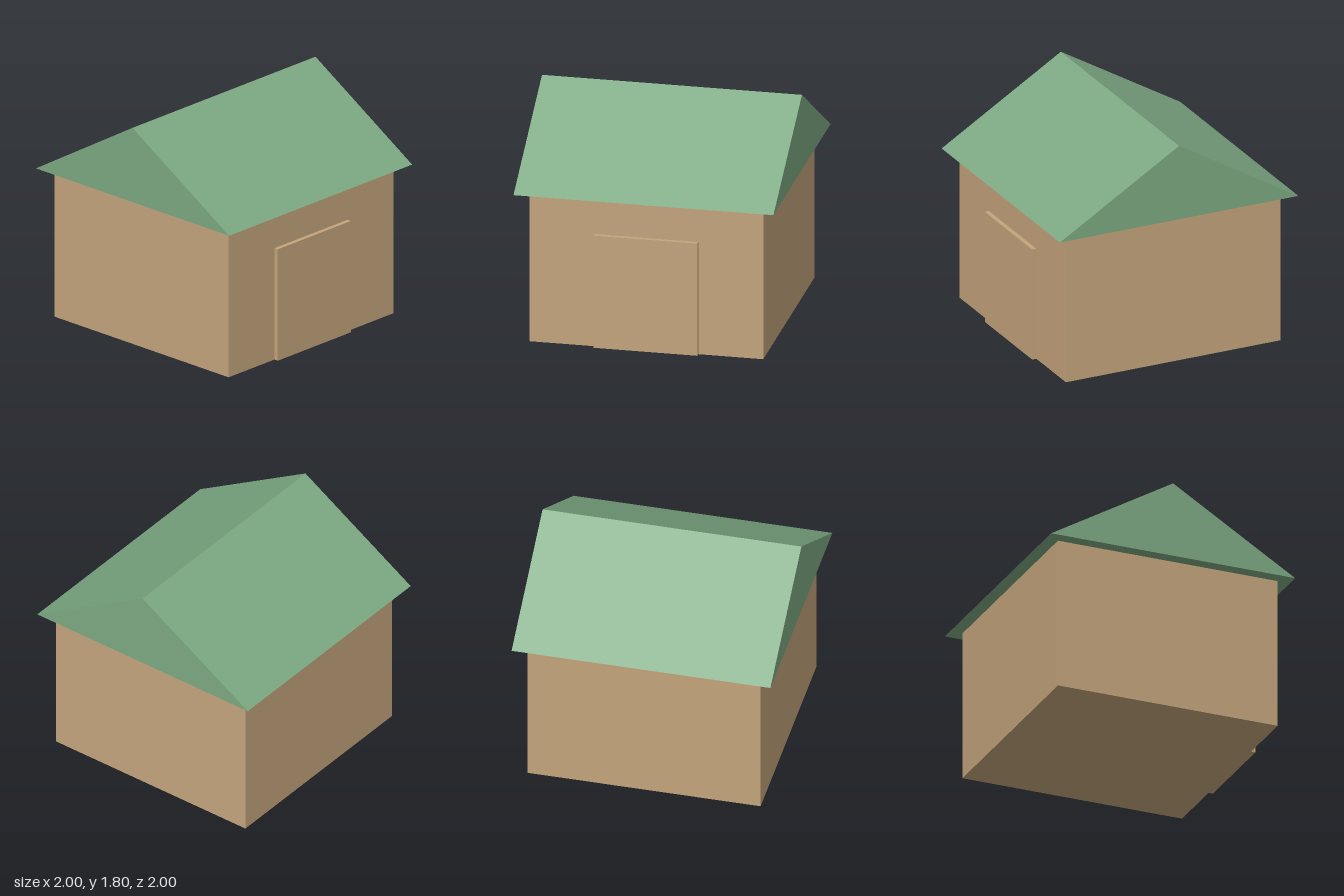
import * as THREE from 'three';

export function createModel() {
  const model = new THREE.Group();
  model.name = 'house';

  const wallTan = new THREE.MeshStandardMaterial({ color: 0xc4a47c });
  wallTan.name = 'wall tan';
  const roofGreen = new THREE.MeshStandardMaterial({ color: 0x7ca982 });
  roofGreen.name = 'roof green';

  // Adds a box standing on the ground
  const addBox = (name, w, h, d, z) => {
    const mesh = new THREE.Mesh(new THREE.BoxGeometry(w, h, d), wallTan);
    mesh.name = name;
    mesh.position.set(0, h / 2, z);
    model.add(mesh);
  };

  // Walls and the slightly raised front door
  addBox('walls', 1.8, 1.2, 1.8, 0);
  addBox('door', 0.8, 0.9, 0.035, 0.9175);

  // Gable roof: a triangle extruded along x, with its ridge left to right
  const gable = new THREE.Shape([
    new THREE.Vector2(-1, 0),
    new THREE.Vector2(1, 0),
    new THREE.Vector2(0, 0.6),
  ]);
  const roofGeometry = new THREE.ExtrudeGeometry(gable, { depth: 2, bevelEnabled: false });
  roofGeometry.translate(0, 0, -1).rotateY(Math.PI / 2);
  const roof = new THREE.Mesh(roofGeometry, roofGreen);
  roof.name = 'roof';
  roof.position.y = 1.2;
  model.add(roof);

  return model;
}
